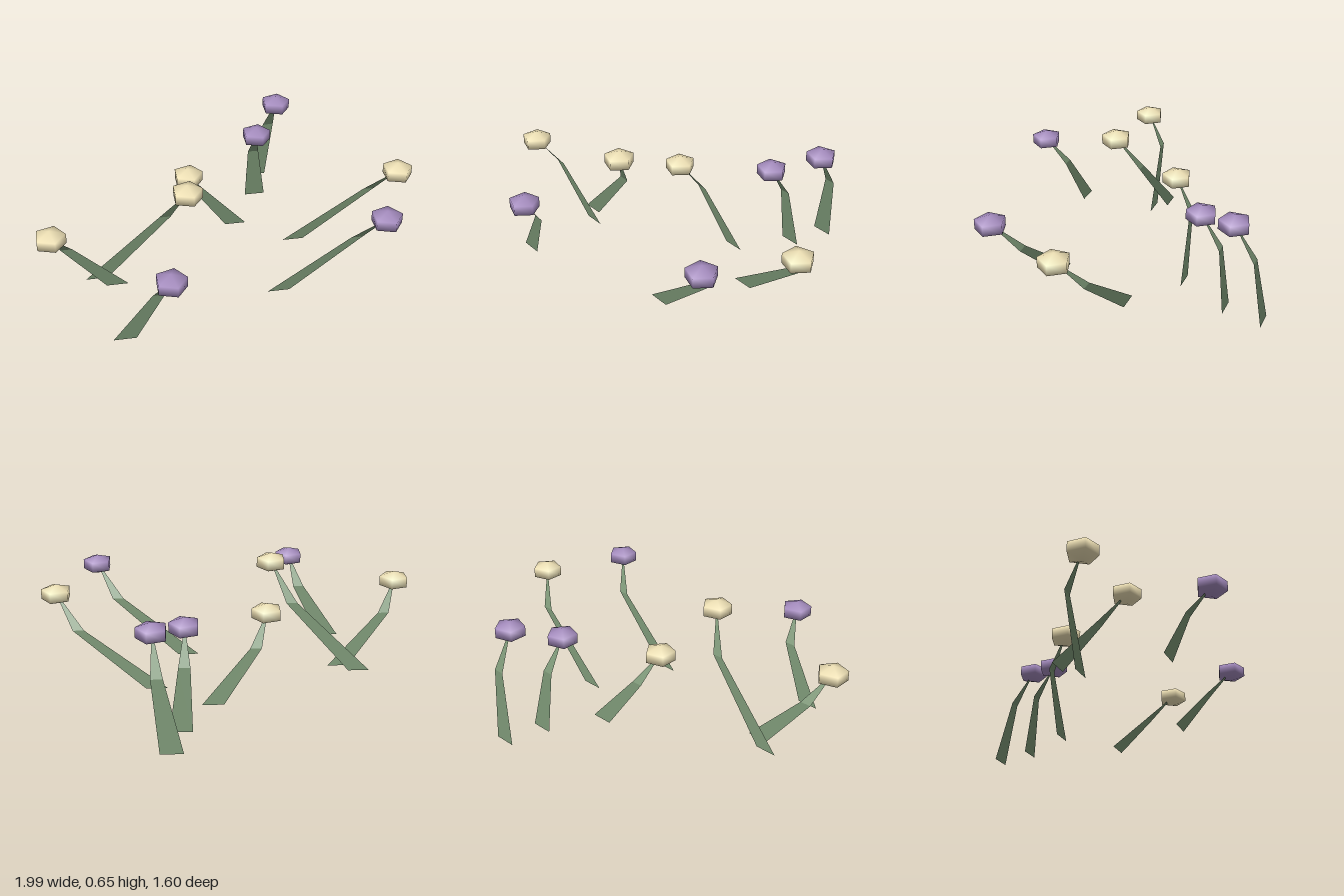
import * as THREE from 'three';

const CREAM = 0xf0e2b6, PURPLE = 0xa58cbf, GREEN = 0x7a9474;

// head x, y, z, then x of the stem's foot and the head colour
const FLOWERS = [
  [-0.184, 0.45, -0.158, 0.104, CREAM],
  [-0.237, 0.595, 0.215, -0.72, CREAM],
  [-0.933, 0.45, 0.283, -0.613, CREAM],
  [0.917, 0.497, 0.047, 0.397, CREAM],
  [0.726, 0.508, 0.478, 0.223, PURPLE],
  [-0.387, 0.45, 0.719, -0.613, PURPLE],
  [0.244, 0.5, -0.438, 0.271, PURPLE],
  [0.398, 0.568, -0.65, 0.317, PURPLE],
];
const LEAN = 0.15; // how far each stem bends forward

// Flat tapering ribbon: wide foot, narrower bend, pointed tip
function stemGeometry(dx, height) {
  const rows = [
    { x: 0, y: 0, z: 0, half: 0.058 },
    { x: dx * 0.78, y: height * 0.66, z: LEAN * 0.29, half: 0.03 },
    { x: dx, y: height, z: LEAN, half: 0.002 },
  ];
  const positions = [], index = [];
  rows.forEach(({ x, y, z, half }, i) => {
    positions.push(x - half, y, z, x + half, y, z);
    if (i > 0) {
      const a = 2 * (i - 1);
      index.push(a, a + 1, a + 3, a, a + 3, a + 2);
    }
  });
  const geometry = new THREE.BufferGeometry();
  geometry.setAttribute('position', new THREE.Float32BufferAttribute(positions, 3));
  geometry.setIndex(index);
  const flat = geometry.toNonIndexed();
  flat.computeVertexNormals();
  return flat;
}

export function createModel() {
  const model = new THREE.Group();
  model.name = 'flowers';

  const stemMaterial = new THREE.MeshStandardMaterial({
    color: GREEN, side: THREE.DoubleSide, flatShading: true,
  });
  const headMaterials = {
    [CREAM]: new THREE.MeshStandardMaterial({ color: CREAM }),
    [PURPLE]: new THREE.MeshStandardMaterial({ color: PURPLE }),
  };

  // Squashed five-sided bud with one corner towards +x
  const headGeometry = new THREE.SphereGeometry(1, 5, 3);
  headGeometry.rotateY(Math.PI);
  headGeometry.scale(0.0924, 0.0533, 0.0924);

  for (const [x, y, z, footX, color] of FLOWERS) {
    const flower = new THREE.Group();
    flower.name = 'flower';
    flower.position.set(footX, 0, z - LEAN);

    const stem = new THREE.Mesh(stemGeometry(x - footX, y), stemMaterial);
    stem.name = 'stem';

    const head = new THREE.Mesh(headGeometry, headMaterials[color]);
    head.name = 'flowerHead';
    head.position.set(x - footX, y, LEAN);

    flower.add(stem, head);
    model.add(flower);
  }
  return model;
}
